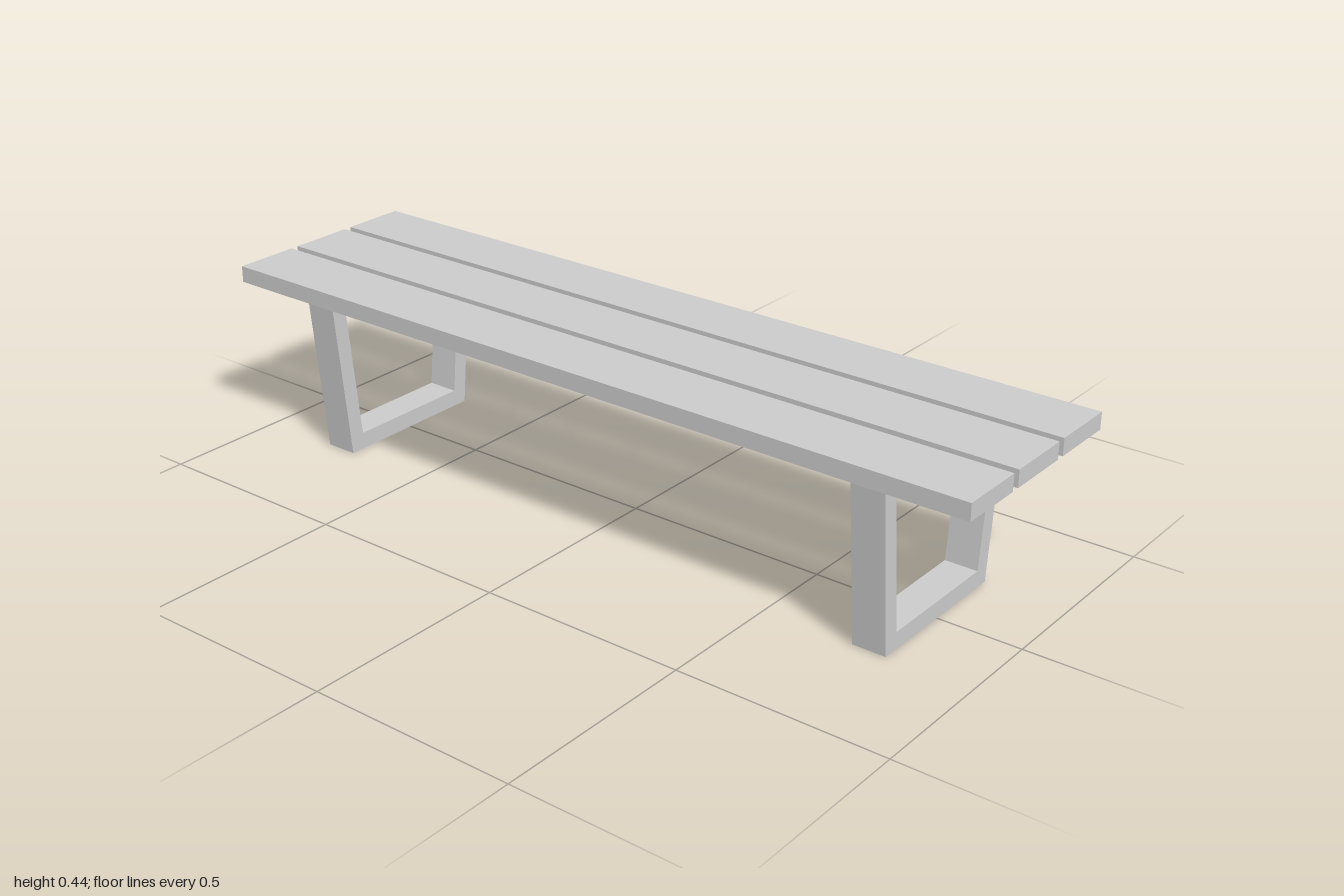
import * as THREE from 'three';

export function createModel() {
  const bench = new THREE.Group();
  bench.name = 'bench';
  const material = new THREE.MeshStandardMaterial({ color: 0xcccccc, flatShading: true });

  const seatBottom = 0.396, plankThickness = 0.04;
  const plankWidth = 0.16, plankSpacing = 0.18;

  // Seat: three parallel planks with narrow gaps
  const plankGeometry = new THREE.BoxGeometry(2, plankThickness, plankWidth);
  ['backPlank', 'middlePlank', 'frontPlank'].forEach((name, i) => {
    const plank = new THREE.Mesh(plankGeometry, material);
    plank.name = name;
    plank.position.set(0, seatBottom + plankThickness / 2, (i - 1) * plankSpacing);
    bench.add(plank);
  });

  // Legs: U-shaped frames, splayed outwards and open at the top
  const half = [[0.198, 0], [0.236, seatBottom], [0.197, seatBottom], [0.162, 0.041]];
  const outline = [...half, ...half.map(([z, y]) => [-z, y]).reverse()];
  const legWidth = 0.08;
  const legGeometry = new THREE.ExtrudeGeometry(
    new THREE.Shape(outline.map(([z, y]) => new THREE.Vector2(z, y))),
    { depth: legWidth, bevelEnabled: false }
  );
  legGeometry.translate(0, 0, -legWidth / 2).rotateY(Math.PI / 2);
  for (const [name, x] of [['leftLegFrame', 0.76], ['rightLegFrame', -0.76]]) {
    const leg = new THREE.Mesh(legGeometry, material);
    leg.name = name;
    leg.position.x = x;
    bench.add(leg);
  }

  return bench;
}
